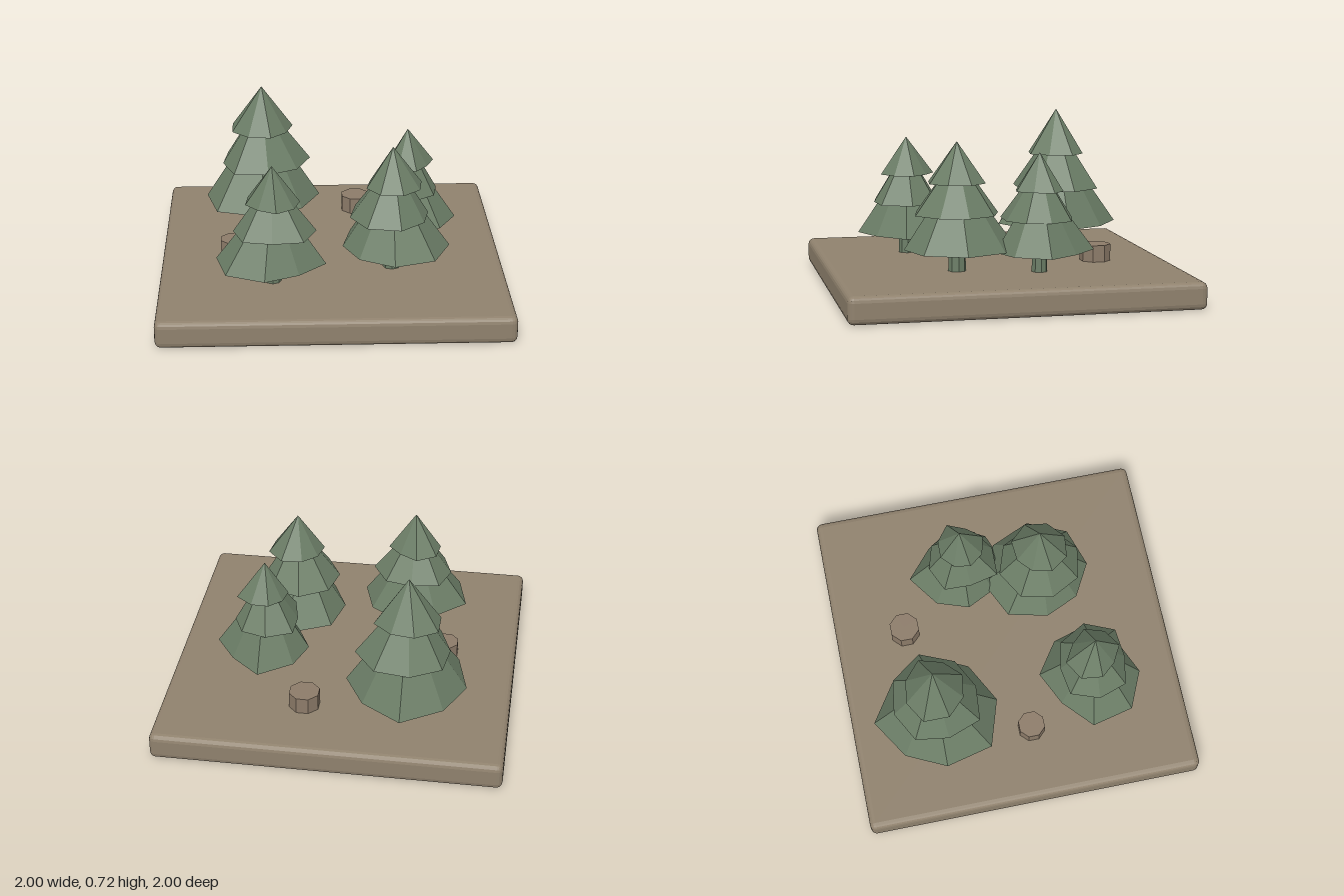
import * as THREE from 'three';
import { RoundedBoxGeometry } from 'three/addons/geometries/RoundedBoxGeometry.js';

const SIDES = 8;
const BASE_TOP = 0.112;

function material(name, color) {
  const m = new THREE.MeshStandardMaterial({ color, flatShading: true });
  m.name = name;
  return m;
}

function addMesh(parent, name, geometry, mat, x, y, z) {
  const mesh = new THREE.Mesh(geometry, mat);
  mesh.name = name;
  mesh.position.set(x, y, z);
  parent.add(mesh);
  return mesh;
}

// Cone whose rim corners sit at uneven radii, listed from -x round towards -z
function raggedCone(radii, factor, height, shift) {
  const geometry = new THREE.ConeGeometry(1, height, SIDES);
  geometry.translate(0, height / 2, 0);
  const p = geometry.attributes.position;
  for (let i = 0; i < p.count; i++) {
    if (Math.hypot(p.getX(i), p.getZ(i)) < 0.5) continue;
    const angle = Math.atan2(p.getZ(i), p.getX(i));
    const corner = Math.round((angle / (2 * Math.PI)) * SIDES) + SIDES / 2;
    const r = radii[(corner + shift) % SIDES] * factor;
    p.setXYZ(i, p.getX(i) * r, p.getY(i), p.getZ(i) * r);
  }
  return geometry;
}

export function createModel() {
  const model = new THREE.Group();
  model.name = 'forestTile';
  const earth = material('earth', 0x8f816d);
  const foliage = material('foliage', 0x6b7d66);
  const wood = material('stumpWood', 0x8c7b69);

  // Square tile with rounded edges, standing on its diagonal
  const bevel = 0.025;
  const side = 2 * ((1 - bevel) / Math.SQRT2 + bevel);
  const base = addMesh(model, 'base',
    new RoundedBoxGeometry(side, BASE_TOP, side, 2, bevel), earth, 0, BASE_TOP / 2, 0);
  base.rotation.y = Math.PI / 4;

  // Trees: position, heights of the three rims and the tip, rim radii, turn
  const trees = [
    { name: 'backTree', x: 0.04, z: -0.45, levels: [0.215, 0.375, 0.525], tip: 0.72, trunk: 0.037,
      radii: [0.28, 0.246, 0.235, 0.27, 0.23, 0.25, 0.24, 0.26], turn: 0 },
    { name: 'rightTree', x: -0.41, z: 0.06, levels: [0.2, 0.335, 0.455], tip: 0.615, trunk: 0.032,
      radii: [0.235, 0.235, 0.185, 0.22, 0.21, 0.22, 0.18, 0.21], turn: -0.16 },
    { name: 'frontTree', x: 0.03, z: 0.32, levels: [0.205, 0.345, 0.475], tip: 0.643, trunk: 0.034,
      radii: [0.2, 0.205, 0.235, 0.245, 0.235, 0.24, 0.235, 0.22], turn: 0 },
    { name: 'leftTree', x: 0.32, z: 0.15, levels: [0.195, 0.325, 0.445], tip: 0.6, trunk: 0.03,
      radii: [0.17, 0.18, 0.19, 0.23, 0.175, 0.21, 0.19, 0.185], turn: 0 },
  ];
  for (const t of trees) {
    const tree = new THREE.Group();
    tree.name = t.name;
    tree.position.set(t.x, 0, t.z);
    model.add(tree);
    const trunkHeight = t.levels[0] - BASE_TOP + 0.03;
    addMesh(tree, 'trunk', new THREE.CylinderGeometry(t.trunk, t.trunk * 1.1, trunkHeight, SIDES),
      foliage, 0, BASE_TOP - 0.01 + trunkHeight / 2, 0);
    // Stacked skirts, each narrower than the one below
    t.levels.forEach((y, k) => {
      const factor = [1, 0.76, 0.52][k];
      const height = k === 2 ? t.tip - y : (t.tip - t.levels[0]) * [0.76, 0.56][k];
      const tier = addMesh(tree, 'foliageTier' + (k + 1),
        raggedCone(t.radii, factor, height, k * 3), foliage, 0, y, 0);
      tier.rotation.y = t.turn + k * 0.15;
    });
  }

  // Cut stumps
  const stumps = [
    { name: 'rightStump', x: -0.32, z: -0.265, r: 0.058, top: 0.172 },
    { name: 'leftStump', x: 0.38, z: -0.205, r: 0.065, top: 0.182 },
  ];
  for (const s of stumps) {
    const h = s.top - BASE_TOP + 0.01;
    const stump = addMesh(model, s.name, new THREE.CylinderGeometry(s.r, s.r, h, SIDES),
      wood, s.x, s.top - h / 2, s.z);
    stump.rotation.y = Math.PI / SIDES;
  }
  return model;
}
